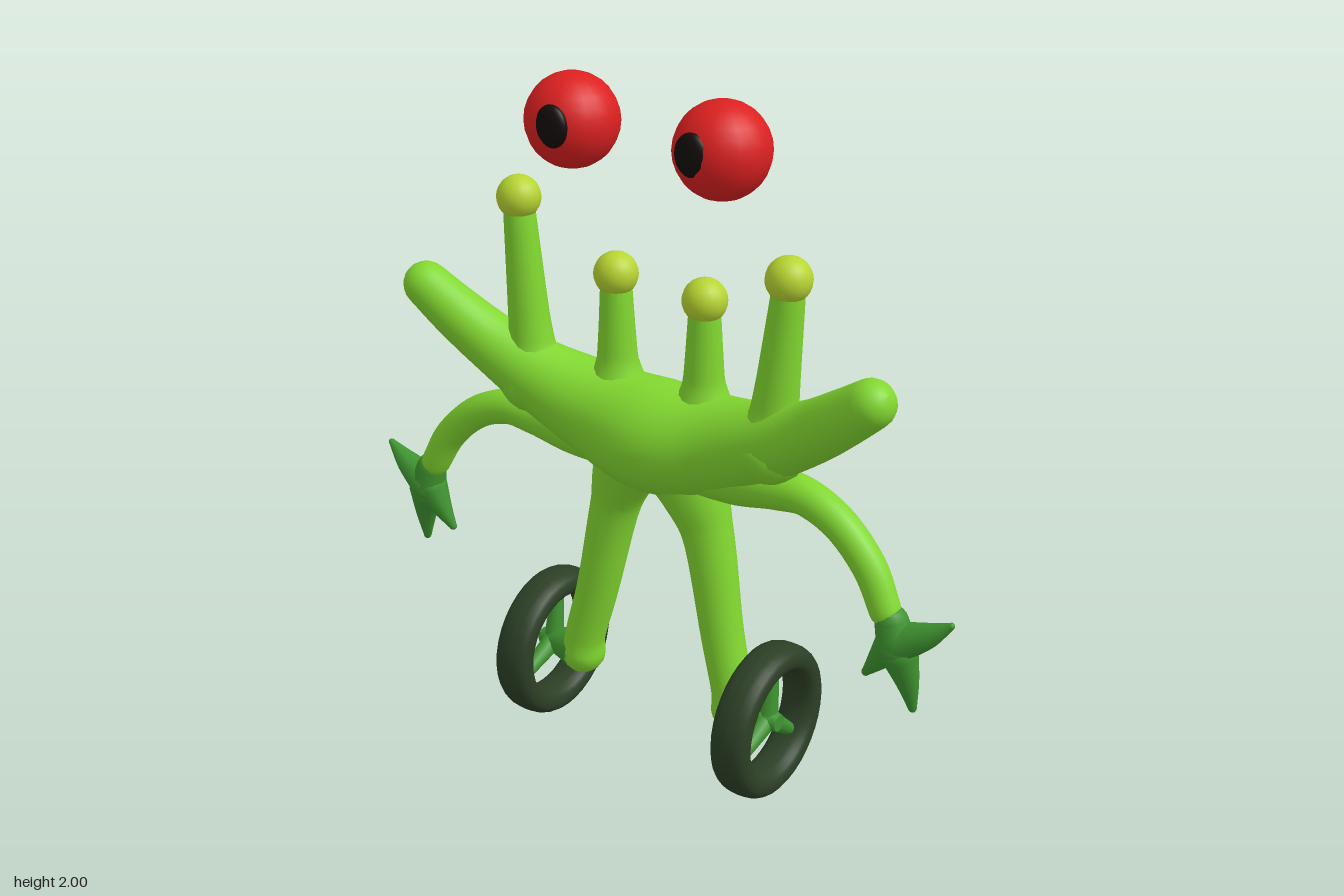
import * as THREE from 'three';

const mat = (name, color) => {
  const m = new THREE.MeshStandardMaterial({ color });
  m.name = name;
  return m;
};

// Smooth limb through stations [x, y, z, radius, depthScale], with rounded ends.
function limb(stations, steps = 20, sides = 16) {
  const curve = new THREE.CatmullRomCurve3(stations.map(s => new THREE.Vector3(s[0], s[1], s[2])));
  const shape = new THREE.CatmullRomCurve3(stations.map(s => new THREE.Vector3(s[3], s[4] ?? 1, 0)));
  const rings = [];
  const capSteps = 5;
  const addRing = (t, grow, shift) => {
    const p = curve.getPoint(t), dir = curve.getTangent(t), f = shape.getPoint(t);
    p.addScaledVector(dir, shift * f.x);
    const b = new THREE.Vector3(0, 0, 1).addScaledVector(dir, -dir.z).normalize();
    const n = new THREE.Vector3().crossVectors(b, dir);
    rings.push({ p, n, b, rn: f.x * grow, rb: f.x * f.y * grow });
  };
  for (let i = 0; i < capSteps; i++) {
    const a = (i / capSteps) * Math.PI / 2;
    addRing(0, Math.max(Math.sin(a), 0.001), -Math.cos(a));
  }
  for (let i = 0; i <= steps; i++) addRing(i / steps, 1, 0);
  for (let i = 1; i <= capSteps; i++) {
    const a = (i / capSteps) * Math.PI / 2;
    addRing(1, Math.max(Math.cos(a), 0.001), Math.sin(a));
  }
  const pos = [], idx = [];
  for (const r of rings) {
    for (let j = 0; j < sides; j++) {
      const a = (j / sides) * Math.PI * 2;
      const v = r.p.clone()
        .addScaledVector(r.n, Math.cos(a) * r.rn)
        .addScaledVector(r.b, Math.sin(a) * r.rb);
      pos.push(v.x, v.y, v.z);
    }
  }
  for (let i = 0; i < rings.length - 1; i++) {
    for (let j = 0; j < sides; j++) {
      const k = (j + 1) % sides;
      const a = i * sides + j, b = i * sides + k;
      idx.push(a, b, a + sides, b, b + sides, a + sides);
    }
  }
  const g = new THREE.BufferGeometry();
  g.setAttribute('position', new THREE.Float32BufferAttribute(pos, 3));
  g.setIndex(idx);
  g.computeVertexNormals();
  return g;
}

export function createModel() {
  const root = new THREE.Group();
  root.name = 'wheeledCreature';
  const skin = mat('lime skin', 0x82d830);
  const darkSkin = mat('dark green', 0x3f9430);
  const bulbMat = mat('yellow green', 0xb8d532);
  const red = mat('eye red', 0xdc2020);
  const black = mat('pupil black', 0x140c0c);
  const rubber = mat('tyre green black', 0x2c3f26);

  const add = (name, geo, material, parent = root) => {
    const m = new THREE.Mesh(geo, material);
    m.name = name;
    parent.add(m);
    return m;
  };
  const ball = (name, r, material, x, y, z, parent) => {
    const m = add(name, new THREE.SphereGeometry(r, 20, 14), material, parent);
    m.position.set(x, y, z);
    return m;
  };

  // Crescent body ending in two upswept horns
  const half = [[0.2, 1.04, 0, 0.135], [0.38, 1.105, 0.03, 0.105], [0.52, 1.18, 0.06, 0.085],
    [0.63, 1.26, 0.09, 0.075], [0.72, 1.33, 0.11, 0.066]];
  const mirrored = half.map(([x, ...rest]) => [-x, ...rest]).reverse();
  add('body', limb([...mirrored, [0, 1.01, 0, 0.16, 1.03], ...half], 48, 24), skin);

  // Stalks with bulbs: base x, bulb x, bulb y, z, base radius
  const stalks = [[-0.4, -0.44, 1.62, 0.03, 0.062], [-0.147, -0.15, 1.445, -0.02, 0.055],
    [0.14, 0.14, 1.432, -0.02, 0.055], [0.39, 0.43, 1.57, 0.035, 0.062]];
  for (const [bx, x, y, z, r] of stalks) {
    const mid = t => bx + (x - bx) * t;
    add('stalk', limb([[bx, 1.1, z, r * 1.7], [mid(0.2), 1.2, z, r * 1.05],
      [mid(0.4), 1.28, z, r * 0.94], [x, y - 0.03, z, 0.044]], 16), skin);
    ball('stalkBulb', 0.062, bulbMat, x, y, z);
  }

  // Tyre profile, revolved about the axle
  const profile = [];
  for (let i = 0; i <= 20; i++) {
    const a = (i / 20) * Math.PI * 2, c = Math.cos(a), s = Math.sin(a);
    profile.push(new THREE.Vector2(
      0.188 + 0.039 * Math.sign(c) * Math.abs(c) ** 0.8,
      0.058 * Math.sign(s) * Math.abs(s) ** 0.8));
  }

  for (const s of [-1, 1]) {
    const side = s > 0 ? 'left' : 'right';
    const mirror = pts => pts.map(([x, ...rest]) => [x * s, ...rest]);

    // Floating eye and its pupil, turned slightly inward
    ball(side + 'Eye', 0.128, red, 0.235 * s, 1.875, 0.05);
    ball(side + 'Pupil', 0.055, black, 0.217 * s, 1.885, 0.16).scale.set(0.9, 1.05, 0.45);

    // Arm arching out and down
    add(side + 'Arm', limb(mirror([[0.14, 0.98, 0, 0.1], [0.28, 0.97, 0.005, 0.085],
      [0.4, 0.975, 0.02, 0.062], [0.5, 0.978, 0.03, 0.052], [0.61, 0.935, 0.04, 0.048],
      [0.71, 0.84, 0.05, 0.046], [0.765, 0.74, 0.06, 0.043]]), 28), skin);

    // Hand with three pointed fingers
    const hand = new THREE.Group();
    hand.name = side + 'Hand';
    root.add(hand);
    add('palm', limb(mirror([[0.785, 0.715, 0.06, 0.045], [0.805, 0.645, 0.058, 0.055]]), 8, 10), darkSkin, hand);
    const fingers = [
      [[0.81, 0.66, 0.058, 0.055], [0.89, 0.705, 0.054, 0.034], [0.95, 0.75, 0.05, 0.01]],
      [[0.81, 0.63, 0.058, 0.053], [0.832, 0.54, 0.042, 0.032], [0.845, 0.455, 0.028, 0.012]],
      [[0.79, 0.65, 0.058, 0.05], [0.75, 0.585, 0.058, 0.03], [0.715, 0.535, 0.055, 0.012]],
    ];
    for (const f of fingers) add('finger', limb(mirror(f), 10, 10), darkSkin, hand);

    // Leg, flared into the belly
    add(side + 'Leg', limb(mirror([[0.06, 0.98, -0.01, 0.125], [0.12, 0.86, -0.015, 0.095],
      [0.158, 0.75, -0.02, 0.073], [0.22, 0.45, -0.008, 0.062], [0.26, 0.29, 0, 0.06],
      [0.268, 0.228, 0, 0.066]]), 26), skin);

    // Wheel: tyre, tapered hub and three spokes
    const wheel = new THREE.Group();
    wheel.name = side + 'Wheel';
    wheel.position.set(0.38 * s, 0.23, 0);
    root.add(wheel);
    add('tyre', new THREE.LatheGeometry(profile, 36), rubber, wheel).rotation.z = Math.PI / 2;
    const hub = add('hub', new THREE.CylinderGeometry(0.025, 0.062, 0.13, 16), darkSkin, wheel);
    hub.rotation.z = -s * Math.PI / 2;
    hub.position.x = -0.025 * s;
    for (let i = 0; i < 3; i++) {
      const pivot = new THREE.Group();
      pivot.rotation.x = (i / 3) * Math.PI * 2 - 0.15;
      wheel.add(pivot);
      const spoke = add('spoke', new THREE.CylinderGeometry(0.018, 0.032, 0.165, 10), darkSkin, pivot);
      spoke.position.y = 0.083;
    }
  }
  return root;
}
